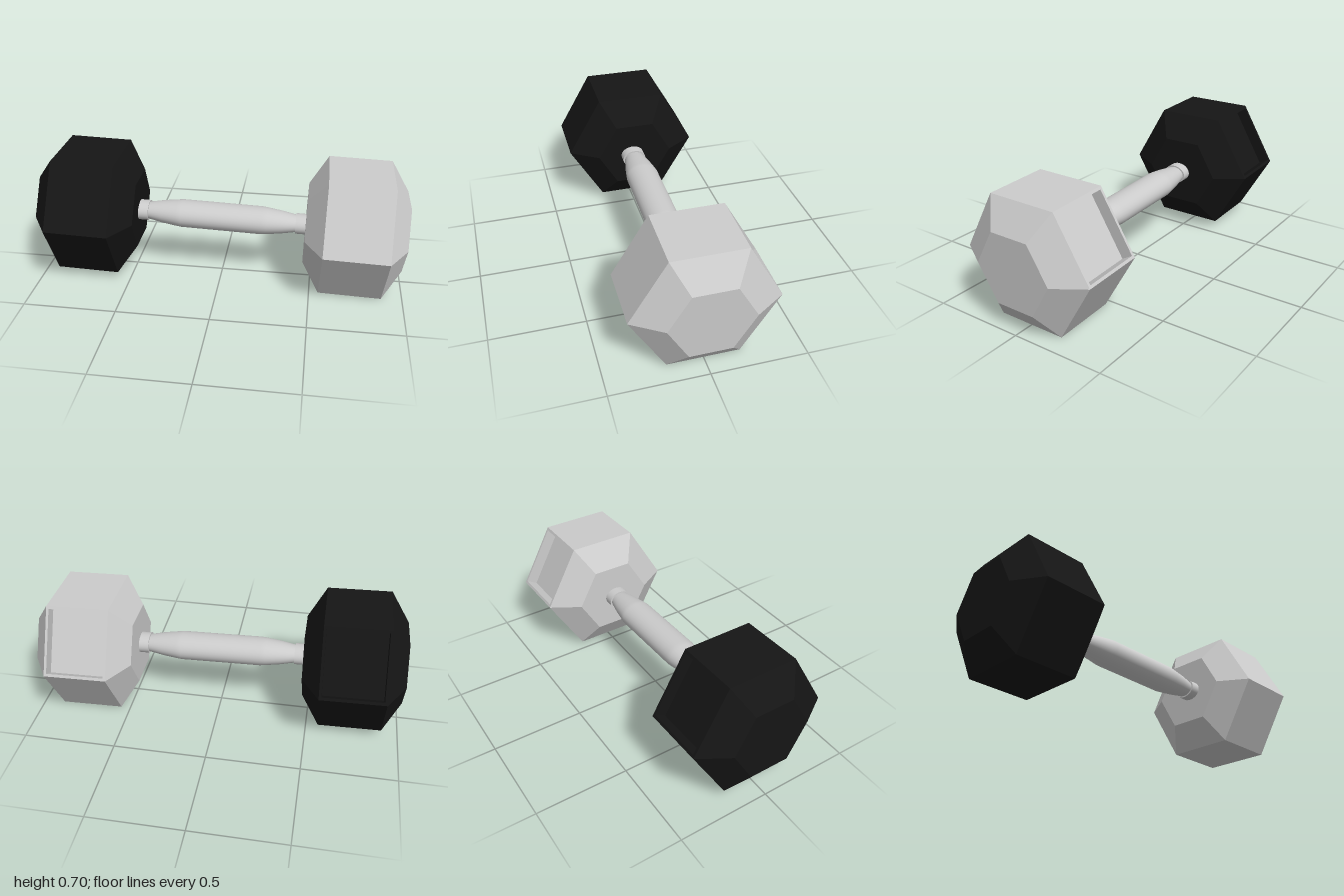
import * as THREE from 'three';

const HEX_R = 0.375, END_R = 0.217; // hexagon corner radii
const HALF = 0.267, BAND = 0.17;    // half length of a head and of its straight band
const HEAD_X = 0.728;

// hexagon in the yz plane, starting at the +z corner
function hexRing(x, r) {
  return Array.from({ length: 6 }, (_, k) => {
    const a = k * Math.PI / 3;
    return new THREE.Vector3(x, r * Math.sin(a), r * Math.cos(a));
  });
}

// bevelled hexagonal block with a rectangular pocket in its upper back face
function headGeometry() {
  const pos = [];
  const tri = (...p) => p.forEach(v => pos.push(v.x, v.y, v.z));
  const quad = (a, b, c, d) => { tri(a, b, c); tri(a, c, d); };

  const pocket = (outer) => {
    const n = new THREE.Vector3(0, 0.5, -Math.sqrt(3) / 2);
    const centre = outer.reduce((s, p) => s.add(p), new THREE.Vector3()).multiplyScalar(0.25);
    const rim = outer.map(p => p.clone().sub(centre).multiplyScalar(0.92).add(centre));
    const floor = rim.map(p => p.clone().addScaledVector(n, -0.065));
    for (let i = 0; i < 4; i++) {
      const j = (i + 1) % 4;
      quad(outer[i], outer[j], rim[j], rim[i]);
      quad(rim[i], rim[j], floor[j], floor[i]);
    }
    quad(...floor);
  };

  const rings = [[-HALF, END_R], [-BAND, HEX_R], [BAND, HEX_R], [HALF, END_R]].map(p => hexRing(...p));
  for (let s = 0; s < 3; s++) {
    for (let k = 0; k < 6; k++) {
      const j = (k + 1) % 6, A = rings[s], B = rings[s + 1];
      const face = [A[k], B[k], B[j], A[j]];
      if (s === 1 && k === 2) pocket(face);
      else quad(...face);
    }
  }
  // flat ends
  for (let k = 1; k < 5; k++) {
    tri(rings[0][0], rings[0][k], rings[0][k + 1]);
    tri(rings[3][0], rings[3][k + 1], rings[3][k]);
  }
  const g = new THREE.BufferGeometry();
  g.setAttribute('position', new THREE.Float32BufferAttribute(pos, 3));
  g.computeVertexNormals();
  return g;
}

export function createModel() {
  const model = new THREE.Group();
  model.name = 'dumbbell';
  const grey = new THREE.MeshStandardMaterial({ color: 0xcccccc });
  const greyFlat = new THREE.MeshStandardMaterial({ color: 0xcccccc, flatShading: true });
  const black = new THREE.MeshStandardMaterial({ color: 0x151515, flatShading: true });

  const add = (parent, name, geometry, material) => {
    const mesh = new THREE.Mesh(geometry, material);
    mesh.name = name;
    parent.add(mesh);
    return mesh;
  };

  // weights
  const head = headGeometry();
  add(model, 'leftHead', head, greyFlat).position.x = HEAD_X;
  add(model, 'rightHead', head, black).position.x = -HEAD_X;

  // handle: oval in section, set slightly forward
  const handle = new THREE.Group();
  handle.name = 'handle';
  handle.scale.set(1, 0.79, 1);
  handle.position.set(0, -0.003, 0.015);
  model.add(handle);

  const half = [[0.055, 0.42], [0.06, 0.395], [0.075, 0.33], [0.088, 0.25], [0.092, 0.22]];
  const profile = [...half.map(([r, x]) => [r, -x]), ...half.slice().reverse()]
    .map(([r, x]) => new THREE.Vector2(r, x));
  add(handle, 'grip', new THREE.LatheGeometry(profile, 32).rotateZ(-Math.PI / 2), grey);

  for (const side of [1, -1]) {
    const collar = add(handle, side > 0 ? 'leftCollar' : 'rightCollar',
      new THREE.CylinderGeometry(0.067, 0.067, 0.07, 32).rotateZ(Math.PI / 2), grey);
    collar.position.x = side * 0.442;
  }

  // slight lean towards the left head
  model.rotation.z = -0.0287;
  model.position.y = 0.351;
  const root = new THREE.Group();
  root.name = 'model';
  root.add(model);
  return root;
}
